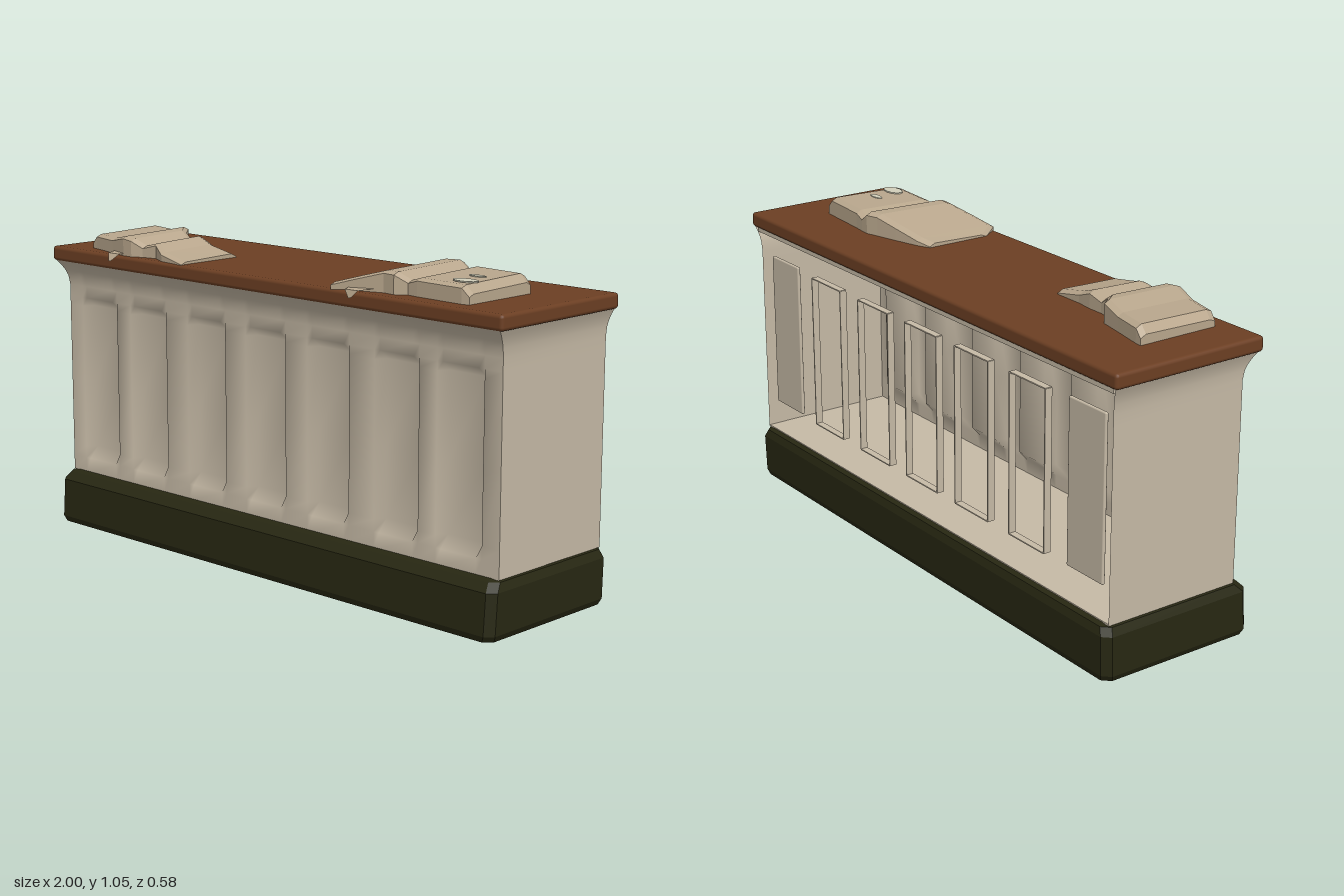
import * as THREE from 'three';
import { RoundedBoxGeometry } from 'three/addons/geometries/RoundedBoxGeometry.js';

const mat = (name, color) =>
  new THREE.MeshStandardMaterial({ name, color, side: THREE.DoubleSide });

// Skin a list of equal-length rows of [x, y, z] points.
function skin(rows, { closed = false, smooth = false } = {}) {
  const n = rows[0].length, index = [];
  for (let r = 0; r < rows.length - 1; r++) {
    for (let i = 0; i < (closed ? n : n - 1); i++) {
      const a = r * n + i, b = r * n + (i + 1) % n;
      index.push(a, b, b + n, a, b + n, a + n);
    }
  }
  let geo = new THREE.BufferGeometry();
  geo.setAttribute('position', new THREE.Float32BufferAttribute(rows.flat(2), 3));
  geo.setIndex(index);
  if (!smooth) geo = geo.toNonIndexed();
  geo.computeVertexNormals();
  return geo;
}

// Rectangular outline with cut corners, counter-clockwise from above.
const outline = (hx, zf, zb, c, y) => [
  [-hx + c, y, zf], [hx - c, y, zf], [hx, y, zf - c], [hx, y, zb + c],
  [hx - c, y, zb], [-hx + c, y, zb], [-hx, y, zb + c], [-hx, y, zf - c],
];

export function createModel() {
  const group = new THREE.Group();
  const cream = mat('cream paint', 0xc6baa6);
  const brown = mat('brown wood', 0x6c3f23);
  const olive = mat('dark olive plinth', 0x272712);
  const paper = mat('tan cloth', 0xb9a78d);
  const pale = mat('pale patch', 0xd2cfba);

  const add = (name, geo, material, x = 0, y = 0, z = 0) => {
    const mesh = new THREE.Mesh(geo, material);
    mesh.name = name;
    mesh.position.set(x, y, z);
    group.add(mesh);
    return mesh;
  };

  // Plinth: hollow ring, open underneath, chamfered at the top
  add('plinth', skin([
    outline(0.96, 0.25, -0.265, 0.02, 0.004),
    outline(0.975, 0.268, -0.285, 0.025, 0),
    outline(0.985, 0.275, -0.292, 0.025, 0.02),
    outline(0.985, 0.266, -0.296, 0.025, 0.15),
    outline(0.972, 0.24, -0.288, 0.025, 0.176),
    outline(0.955, 0.21, -0.268, 0.02, 0.182),
  ], { closed: true }), olive);

  // Countertop
  add('countertop', new RoundedBoxGeometry(2, 0.05, 0.555, 2, 0.012), brown, 0, 0.95, -0.0135);

  // Wall heights and the cove that flares out beneath the countertop
  const cove = y => 0.045 * Math.max(0, (y - 0.84) / 0.09) ** 2;
  const halfX = y => 0.967 + cove(y) * 0.5;
  const heights = [0.18, 0.23, 0.27, 0.5, 0.77, 0.8, 0.84, 0.87, 0.89, 0.91, 0.93];
  const centres = [-0.81, -0.56, -0.275, 0, 0.275, 0.56, 0.81];
  const halfPanel = 0.09, slope = 0.022;

  // Front wall with seven soft-edged recessed panels
  const columns = [-0.967];
  for (const c of centres) {
    columns.push(c - halfPanel, c - halfPanel + slope, c + halfPanel - slope, c + halfPanel);
  }
  columns.push(0.967);
  const recess = (x, y) => {
    const inside = centres.some(c => Math.abs(x - c) < halfPanel - slope + 0.001);
    return inside && y > 0.25 && y < 0.78 ? 0.035 : 0;
  };
  add('frontWall', skin(heights.map(y => columns.map(x =>
    [x * halfX(y) / 0.967, y, 0.215 + cove(y) - recess(x, y)])), { smooth: true }), cream);

  // End walls
  for (const side of [1, -1]) {
    const rows = heights.map(y => {
      const row = [[side * halfX(y), y, 0.215 + cove(y)],
        [side * halfX(y), y, -0.272 - cove(y) * 0.3]];
      return side > 0 ? row : row.reverse();
    });
    add(side > 0 ? 'leftEndWall' : 'rightEndWall', skin(rows, { smooth: true }), cream);
  }

  // Inside floor and ceiling, and a narrow lip along the open back
  add('floor', new THREE.BoxGeometry(1.93, 0.006, 0.485), cream, 0, 0.182, -0.028);
  add('ceiling', new THREE.BoxGeometry(1.93, 0.006, 0.49), cream, 0, 0.921, -0.028);
  add('backLip', new THREE.BoxGeometry(1.95, 0.018, 0.008), cream, 0, 0.918, -0.276);

  // Back: solid panels at both ends, thin reveal frames between them
  centres.forEach((c, i) => {
    if (i === 0 || i === centres.length - 1) {
      add('backEndPanel', new RoundedBoxGeometry(0.17, 0.54, 0.012, 2, 0.005), cream,
        Math.sign(c) * 0.835, 0.56, -0.255);
      return;
    }
    const frame = new THREE.Group();
    frame.name = 'backPanelFrame';
    for (const s of [-1, 1]) {
      const upright = new THREE.Mesh(new THREE.BoxGeometry(0.004, 0.53, 0.025), cream);
      upright.position.x = s * 0.088;
      const rail = new THREE.Mesh(new THREE.BoxGeometry(0.176, 0.004, 0.025), cream);
      rail.position.y = s * 0.265;
      upright.name = 'frameUpright';
      rail.name = 'frameRail';
      frame.add(upright, rail);
    }
    frame.position.set(c, 0.555, -0.255);
    group.add(frame);
  });

  // Folded cloths: cross-sections [x, top y, back z, front z] along x
  const cloth = (name, sections) => {
    const rows = sections.map(([x, y, zb, zf]) => [
      [x, 0.972, zb], [x, 0.972, zf], [x, y - 0.008, zf],
      [x, y, zf - 0.02], [x, y + 0.006, zb + 0.02], [x, y - 0.004, zb],
    ]);
    const flatten = row => row.map(([x, , z]) => [x, 0.972, z]);
    add(name, skin([flatten(rows[0]), ...rows, flatten(rows.at(-1))], { closed: true }), paper);
  };
  cloth('rightCloth', [
    [-0.855, 1.0, -0.085, 0.2], [-0.83, 1.024, -0.082, 0.205], [-0.72, 1.024, -0.06, 0.23],
    [-0.64, 1.04, -0.045, 0.25], [-0.6, 1.035, 0, 0.25], [-0.565, 1.012, 0.005, 0.23],
    [-0.51, 1.026, 0.005, 0.22], [-0.45, 1.004, 0.012, 0.25], [-0.345, 0.983, 0.012, 0.258],
  ]);
  cloth('leftCloth', [
    [0.285, 0.982, -0.03, 0.2], [0.33, 0.994, -0.05, 0.262], [0.42, 1.02, -0.075, 0.235],
    [0.5, 1.042, -0.095, 0.21], [0.545, 1.042, -0.108, 0.215], [0.58, 1.018, -0.105, 0.19],
    [0.62, 1.03, -0.1, 0.195], [0.8, 1.03, -0.085, 0.205], [0.825, 1.005, -0.083, 0.2],
  ]);

  // Small cloth corners hanging over the front edge
  for (const [x, z] of [[-0.67, 0.285], [0.42, 0.275]]) {
    add('hangingCorner', skin([
      [[x - 0.04, 0.985, 0.22], [x + 0.05, 0.985, 0.22]],
      [[x - 0.025, 0.982, 0.268], [x + 0.03, 0.982, 0.268]],
      [[x - 0.005, 0.958, z], [x + 0.005, 0.958, z]],
    ]), paper);
  }

  // Pale patches on the left cloth
  for (const [x, z, rx, rz] of [[0.735, 0.055, 0.032, 0.012], [0.765, 0.145, 0.045, 0.026]]) {
    const patch = add('palePatch', new THREE.CylinderGeometry(1, 1, 0.004, 12), pale, x, 1.034, z);
    patch.scale.set(rx, 1, rz);
  }

  return group;
}
